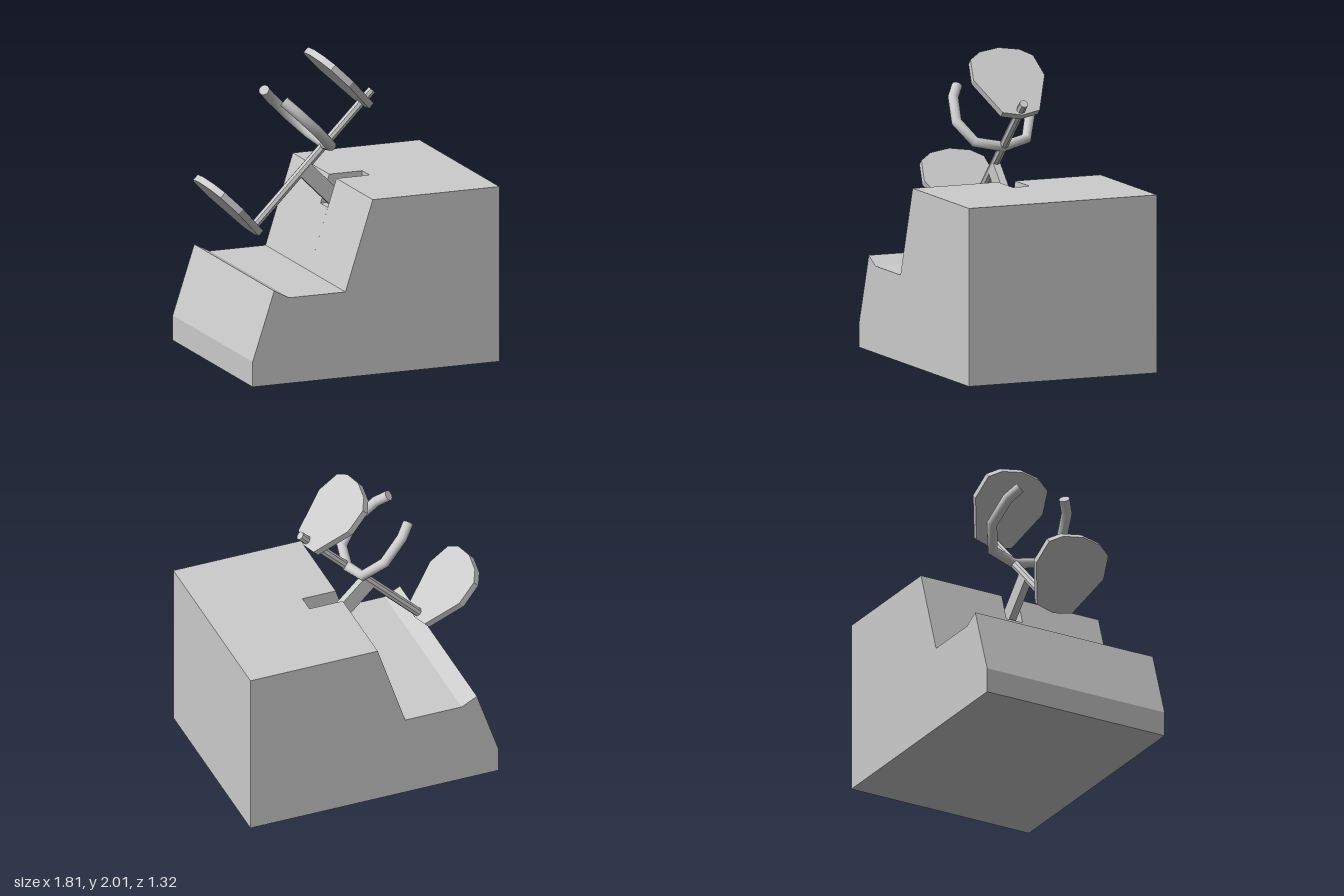
import * as THREE from 'three';

const material = new THREE.MeshStandardMaterial({ color: 0xcccccc });
const flatMaterial = new THREE.MeshStandardMaterial({ color: 0xcccccc, flatShading: true });

function addMesh(parent, name, geometry, mat = material) {
  const mesh = new THREE.Mesh(geometry, mat);
  mesh.name = name;
  parent.add(mesh);
  return mesh;
}

const toShape = (points) => new THREE.Shape(points.map(([x, y]) => new THREE.Vector2(x, y)));

// Stepped cabinet: two solid sides and a narrow middle notched for the lever
function createCabinet() {
  const cabinet = new THREE.Group();
  cabinet.name = 'cabinet';
  const base = [[0.02, 1.156], [-0.17, 0.565], [-0.56, 0.565], [-0.665, 0.62], [-0.815, 0.165], [-0.815, 0], [0.9, 0], [0.9, 1.156]];
  const notch = [[0.25, 1.156], [0.25, 0.97], [-0.04, 0.97]];
  const half = 0.66, slot = 0.06;
  const sections = [
    ['cabinetBackSide', base, -half, -slot],
    ['cabinetSlottedMiddle', [...notch, ...base.slice(1)], -slot, slot],
    ['cabinetFrontSide', base, slot, half],
  ];
  for (const [name, outline, z0, z1] of sections) {
    const geometry = new THREE.ExtrudeGeometry(toShape(outline), { depth: z1 - z0, bevelEnabled: false });
    addMesh(cabinet, name, geometry.translate(0, 0, z0));
  }
  return cabinet;
}

// Faceted paddle, standing across the bar
function createPaddleGeometry() {
  const side = [[0.13, -0.01], [0.25, 0.26], [0.22, 0.42], [0.14, 0.475]];
  const mirrored = side.map(([z, u]) => [-z, u]).reverse();
  const outline = [[0, -0.04], ...side, [0, 0.5], ...mirrored];
  const thickness = 0.045;
  return new THREE.ExtrudeGeometry(toShape(outline), { depth: thickness, bevelEnabled: false })
    .translate(0, 0, -thickness / 2)
    .rotateY(Math.PI / 2);
}

// Open handle ring, made of straight tube lengths with closed ends
function createHandle() {
  const handle = new THREE.Group();
  handle.name = 'handleRing';
  const side = [[0.18, 0.05], [0.257, 0.22], [0.22, 0.41], [0.165, 0.5]];
  const path = [...side.map(([z, u]) => [-z, u]).reverse(), [0, 0], ...side];
  const curve = new THREE.CatmullRomCurve3(path.map(([z, u]) => new THREE.Vector3(0, u, z)));
  // Place one tube ring on each path point
  curve.getPointAt = curve.getPoint;
  curve.getTangentAt = curve.getTangent;
  const radius = 0.035;
  addMesh(handle, 'handleTube', new THREE.TubeGeometry(curve, path.length - 1, radius, 12));
  for (const end of [0, 1]) {
    const cap = addMesh(handle, 'handleEnd', new THREE.CircleGeometry(radius, 12));
    const outward = curve.getTangent(end).multiplyScalar(end ? 1 : -1);
    cap.position.copy(curve.getPoint(end));
    cap.quaternion.setFromUnitVectors(new THREE.Vector3(0, 0, 1), outward);
  }
  return handle;
}

export function createModel() {
  const model = new THREE.Group();
  model.name = 'leverMachine';
  model.add(createCabinet());

  // Tilted lever: local x runs along the bar, local y along the paddles
  const lever = new THREE.Group();
  lever.name = 'lever';
  lever.position.set(-0.54, 0.87, 0);
  lever.rotation.z = Math.PI / 4;
  model.add(lever);

  const start = -0.02, end = 1.175;
  const bar = addMesh(lever, 'bar', new THREE.CylinderGeometry(0.029, 0.029, end - start, 8), flatMaterial);
  bar.rotation.z = -Math.PI / 2;
  bar.position.x = (start + end) / 2;

  const paddleGeometry = createPaddleGeometry();
  addMesh(lever, 'lowerPaddle', paddleGeometry);
  addMesh(lever, 'upperPaddle', paddleGeometry).position.x = 1.085;

  const handle = createHandle();
  handle.position.x = 0.714;
  lever.add(handle);

  // Stem from the bar down into the slot
  const stem = addMesh(lever, 'stem', new THREE.BoxGeometry(0.106, 0.39, 0.05));
  stem.position.set(0.505, -0.195, 0);

  return model;
}
